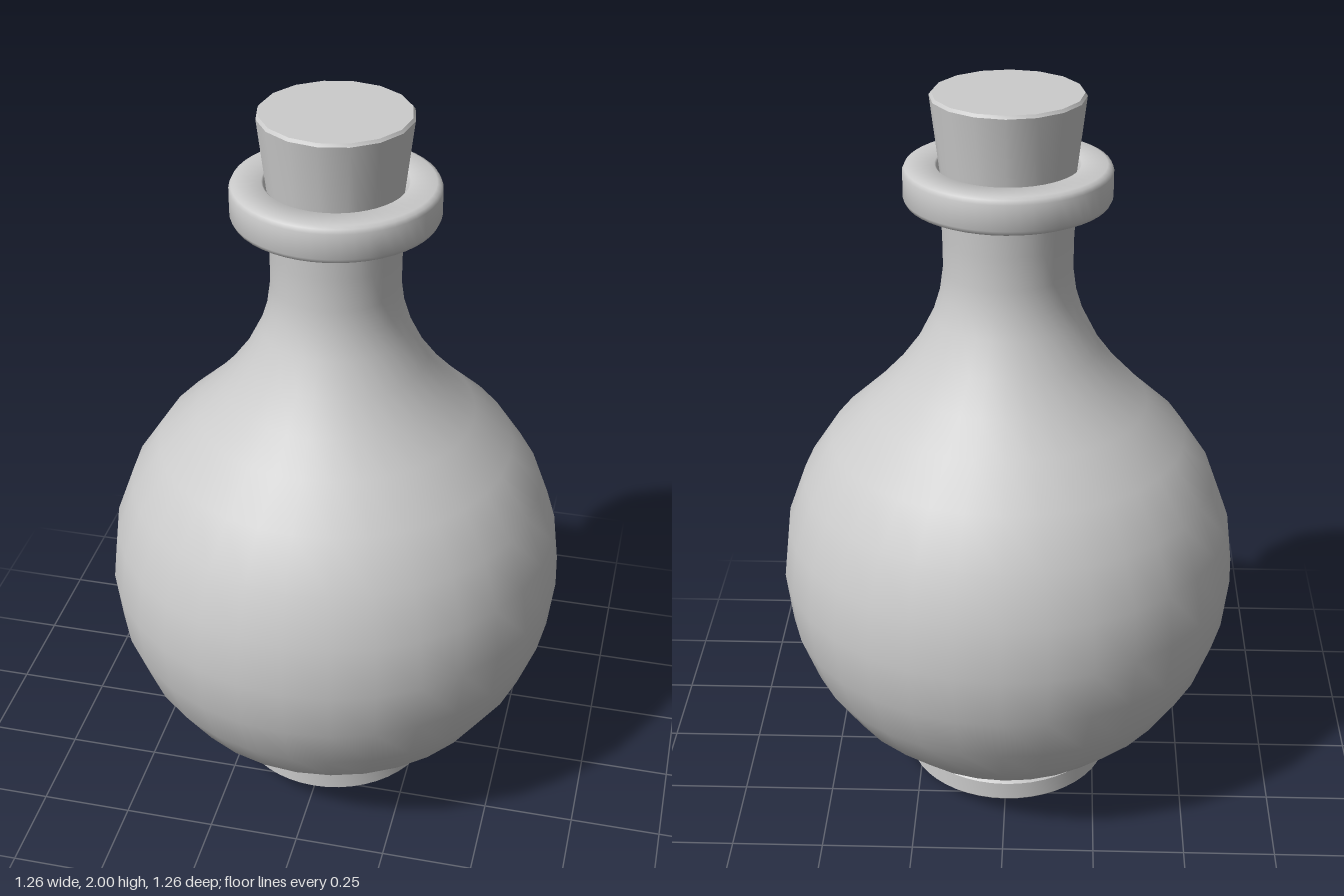
import * as THREE from 'three';
import { toCreasedNormals } from 'three/addons/utils/BufferGeometryUtils.js';

const material = new THREE.MeshStandardMaterial({ color: 0xcccccc });
const glassMaterial = new THREE.MeshStandardMaterial({ color: 0xcccccc, side: THREE.DoubleSide });

// Turn a profile of [radius, height] pairs, listed from bottom to top on the outside.
function turned(name, profile, sides, crease, mat = material) {
  const points = profile.map(([r, y]) => new THREE.Vector2(r, y));
  let geometry = new THREE.LatheGeometry(points, sides);
  if (crease) geometry = toCreasedNormals(geometry, crease);
  const mesh = new THREE.Mesh(geometry, mat);
  mesh.name = name;
  return mesh;
}

export function createModel() {
  const model = new THREE.Group();
  model.name = 'corkedFlask';

  // Round belly flowing into a slightly flared neck
  const body = [];
  for (let i = -5; i <= 4; i++) {
    const a = THREE.MathUtils.degToRad(i * 13.3);
    body.push([0.63 * Math.cos(a), 0.645 + 0.63 * Math.sin(a)]);
  }
  body.push([0.305, 1.228], [0.245, 1.31], [0.2, 1.4], [0.18, 1.465],
    [0.171, 1.53], [0.172, 1.62], [0.178, 1.71], [0.183, 1.8]);
  model.add(turned('flaskBody', body, 32, 0, glassMaterial));

  // Foot disc with small bevels
  model.add(turned('foot', [
    [0, 0], [0.28, 0], [0.287, 0.007], [0.287, 0.058], [0.28, 0.065], [0, 0.065],
  ], 48, 0.6));

  // Rounded lip ring, open in the middle
  model.add(turned('lipRing', [
    [0.172, 1.715], [0.255, 1.715], [0.266, 1.72], [0.271, 1.731],
    [0.271, 1.799], [0.266, 1.81], [0.255, 1.815], [0.188, 1.815],
    [0.183, 1.81], [0.172, 1.715],
  ], 48, 0.8));

  // Tapered stopper reaching down into the neck
  model.add(turned('stopper', [
    [0, 1.6], [0.153, 1.6], [0.2, 1.992], [0.194, 2], [0, 2],
  ], 16, 0.6));

  return model;
}
